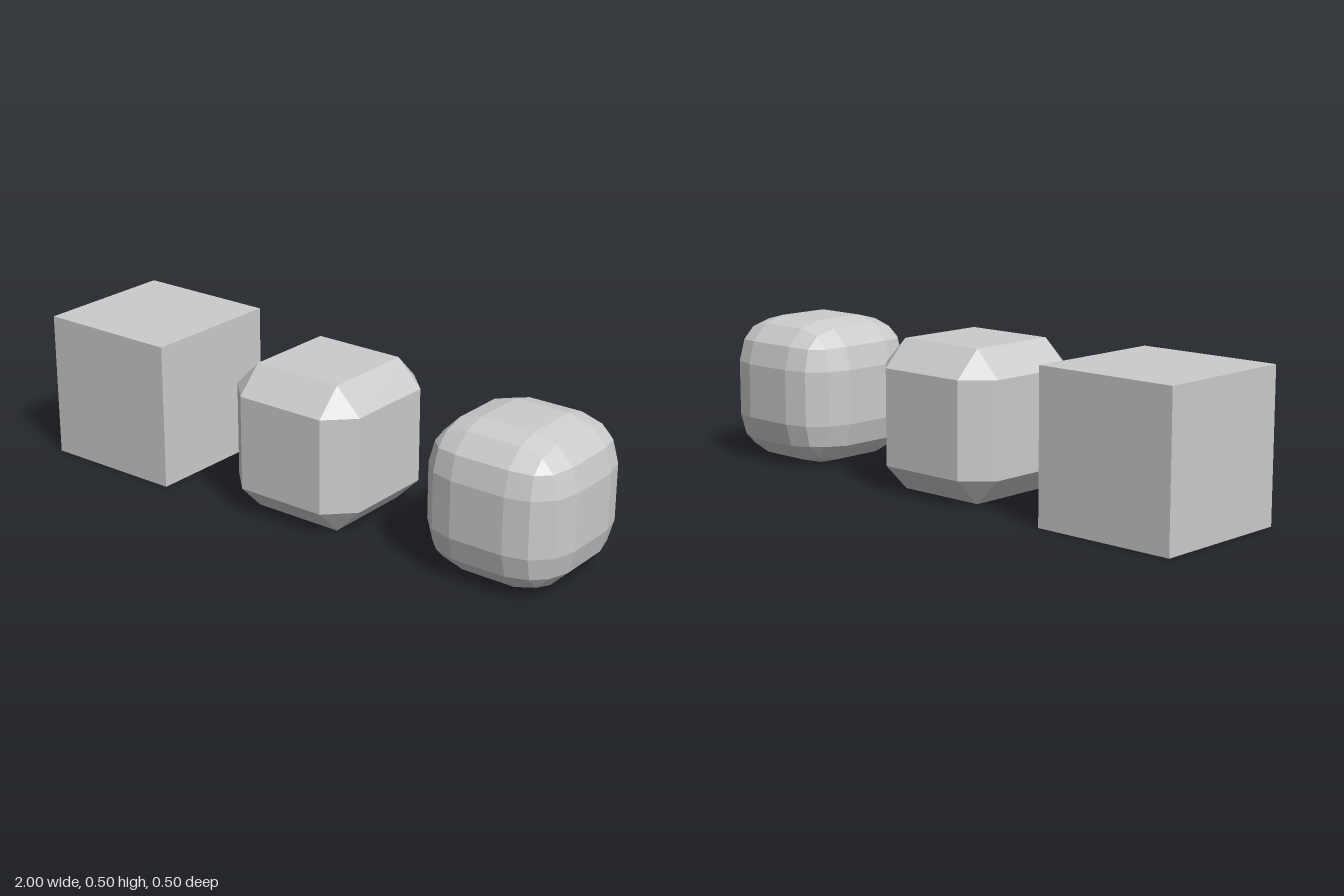
import * as THREE from 'three';
import { ConvexGeometry } from 'three/addons/geometries/ConvexGeometry.js';

const HALF = 0.25;
const SPACING = 0.75;

// Convex solid from the corner points of one octant, turned onto all three axes and mirrored to all octants
function octantSolid(corner) {
  const points = [];
  for (const [a, b, c] of corner) {
    for (const [x, y, z] of [[a, b, c], [c, a, b], [b, c, a]]) {
      for (const sx of [-1, 1]) for (const sy of [-1, 1]) for (const sz of [-1, 1]) {
        points.push(new THREE.Vector3(x * sx, y * sy, z * sz));
      }
    }
  }
  return new ConvexGeometry(points);
}

// Single flat bevel with triangular corners
function chamferedCube(flat) {
  return octantSolid([[HALF, flat, flat]]);
}

// Three-step round bevel: quarter arcs along the edges, a faceted ball patch at each corner
function roundedCube(flat) {
  const r = HALF - flat;
  const c = Math.cos(Math.PI / 6), s = 0.5;
  const b = 0.475, a = Math.sqrt(1 - 2 * b * b);
  const directions = [[1, 0, 0], [c, s, 0], [s, c, 0], [a, b, b]];
  return octantSolid(directions.map((d) => d.map((v) => flat + r * v)));
}

export function createModel() {
  const group = new THREE.Group();
  group.name = 'bevelledCubes';
  const material = new THREE.MeshStandardMaterial({ color: 0xcccccc, flatShading: true });

  const parts = [
    ['sharpCube', new THREE.BoxGeometry(2 * HALF, 2 * HALF, 2 * HALF)],
    ['chamferedCube', chamferedCube(0.161)],
    ['roundedCube', roundedCube(0.094)],
  ];
  parts.forEach(([name, geometry], i) => {
    const mesh = new THREE.Mesh(geometry, material);
    mesh.name = name;
    mesh.position.set((i - 1) * SPACING, HALF, 0);
    group.add(mesh);
  });
  return group;
}
